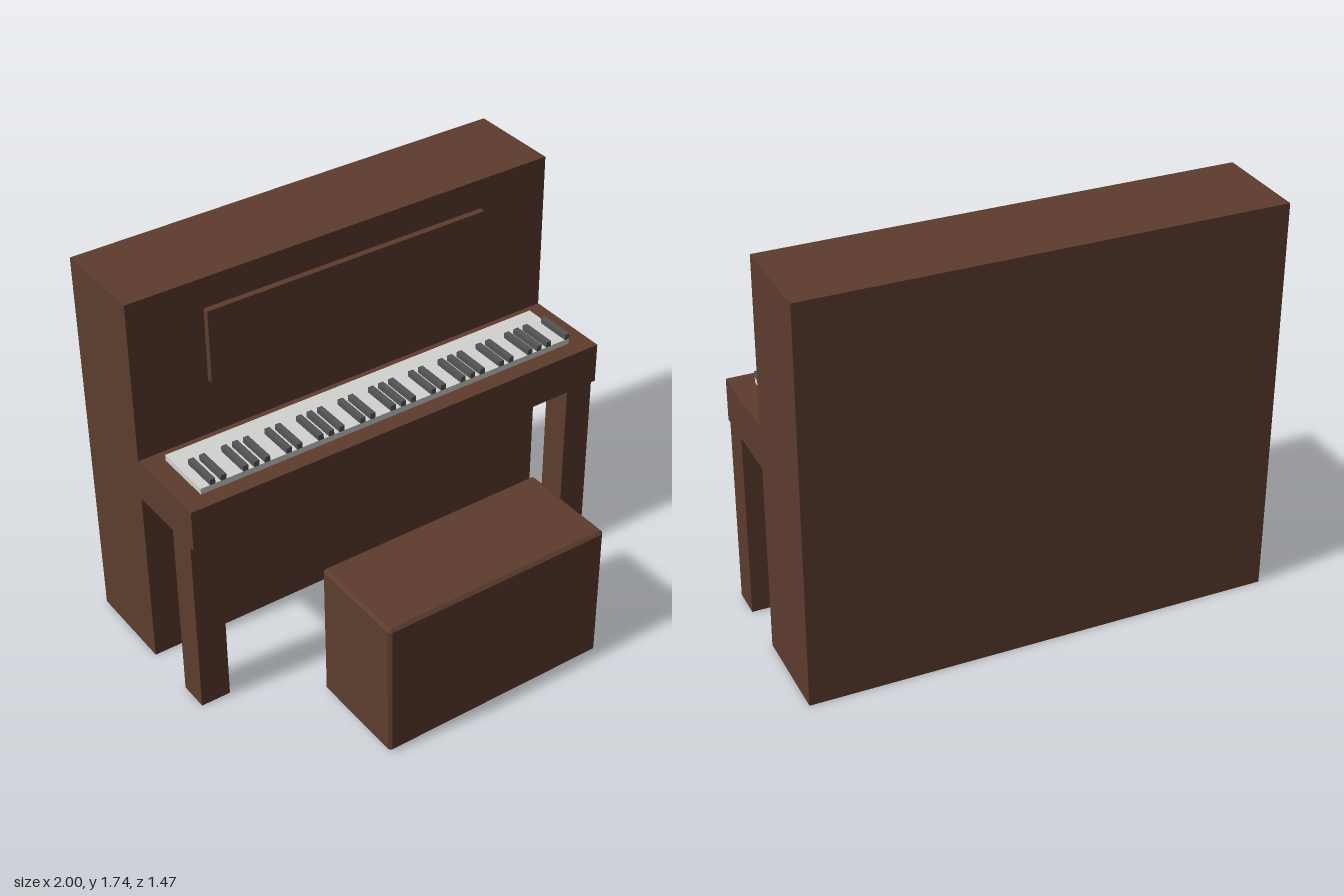
import * as THREE from 'three';
import { ConvexGeometry } from 'three/addons/geometries/ConvexGeometry.js';

const wood = new THREE.MeshStandardMaterial({ name: 'brown wood', color: 0x5d3c2e });
const ivory = new THREE.MeshStandardMaterial({ name: 'ivory white', color: 0xd2d2d0 });
const ebony = new THREE.MeshStandardMaterial({ name: 'ebony grey', color: 0x555555 });

// Box given by its extents on each axis
function box(name, material, [x0, x1], [y0, y1], [z0, z1]) {
  const mesh = new THREE.Mesh(new THREE.BoxGeometry(x1 - x0, y1 - y0, z1 - z0), material);
  mesh.position.set((x0 + x1) / 2, (y0 + y1) / 2, (z0 + z1) / 2);
  mesh.name = name;
  return mesh;
}

// Box with every edge cut by a flat chamfer
function chamferedBox(w, h, d, c) {
  const half = [w / 2, h / 2, d / 2];
  const points = [];
  for (const sx of [-1, 1]) for (const sy of [-1, 1]) for (const sz of [-1, 1]) {
    for (let outer = 0; outer < 3; outer++) {
      const p = [sx, sy, sz].map((s, i) => s * (half[i] - (i === outer ? 0 : c)));
      points.push(new THREE.Vector3(...p));
    }
  }
  return new ConvexGeometry(points);
}

export function createModel() {
  const model = new THREE.Group();
  model.name = 'uprightPianoAndBench';

  // Cabinet, music panel and key shelf
  model.add(box('cabinet', wood, [-1, 1], [0, 1.735], [-0.733, -0.31]));
  model.add(box('musicPanel', wood, [-0.665, 0.665], [1.27, 1.6], [-0.31, -0.282]));
  model.add(box('keyShelf', wood, [-1, 1], [0.83, 1.015], [-0.31, 0.092]));

  // Front legs
  model.add(box('leftLeg', wood, [0.867, 1], [0, 0.83], [-0.065, 0.068]));
  model.add(box('rightLeg', wood, [-1, -0.867], [0, 0.83], [-0.065, 0.068]));

  // Keyboard: white bed and black keys in groups of two and three
  const keyboard = new THREE.Group();
  keyboard.name = 'keyboard';
  keyboard.add(box('whiteKeys', ivory, [-0.909, 0.906], [1.015, 1.042], [-0.253, 0.015]));
  const pitch = 0.05;
  for (let i = 0; i < 36; i++) {
    if (i % 7 === 2 || i % 7 === 6) continue;
    const x = -0.855 + i * pitch;
    keyboard.add(box('blackKey', ebony, [x - 0.012, x + 0.012], [1.042, 1.067], [-0.147, 0.016]));
  }
  model.add(keyboard);

  // Bench
  const bench = new THREE.Mesh(chamferedBox(1.062, 0.64, 0.463, 0.013), wood);
  bench.position.set(0, 0.32, 0.501);
  bench.name = 'bench';
  model.add(bench);

  return model;
}
